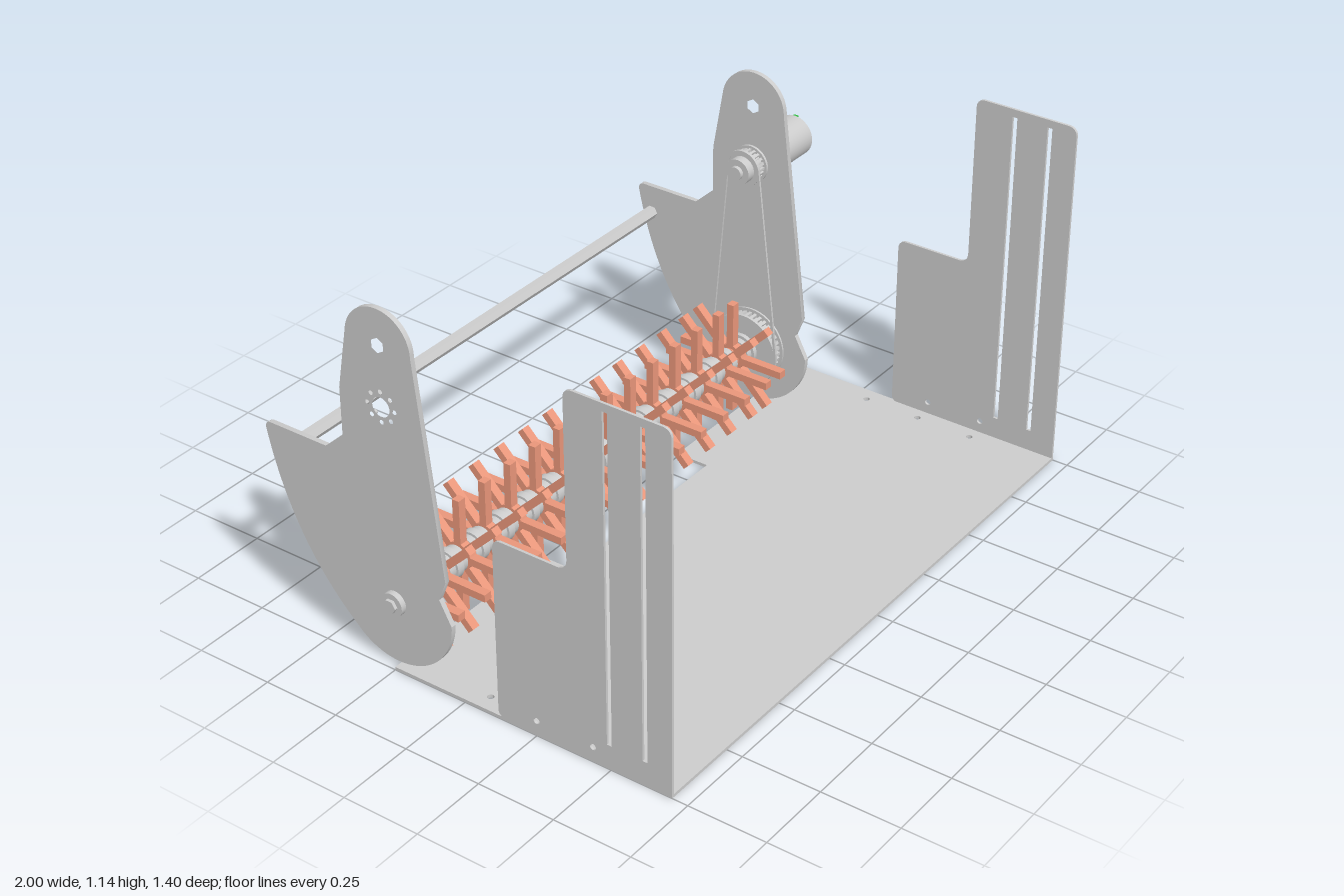
import * as THREE from 'three';
import { toCreasedNormals } from 'three/addons/utils/BufferGeometryUtils.js';

const grey = new THREE.MeshStandardMaterial({ color: 0xcccccc });
const greyFlat = new THREE.MeshStandardMaterial({ color: 0xcccccc, flatShading: true });
const copper = new THREE.MeshStandardMaterial({ color: 0xe9967a, flatShading: true });
const green = new THREE.MeshStandardMaterial({ color: 0x22bb33 });

// Profiles are drawn in (u, y) with u = -z, then extruded along +x.
const ROLLER = { u: 0.26, y: 0.21 }, MOTOR = { u: 0.27, y: 0.84 }, ROD = { u: 0.65, y: 0.55 };

export function createModel() {
  const model = new THREE.Group();

  function add(name, geometry, material = grey, parent = model) {
    const mesh = new THREE.Mesh(geometry, material);
    mesh.name = name;
    parent.add(mesh);
    return mesh;
  }
  function extrude(shape, depth) {
    const g = new THREE.ExtrudeGeometry(shape, { depth, bevelEnabled: false, curveSegments: 24 });
    return toCreasedNormals(g, 0.5);
  }
  const slab = (shape, x0, x1) => extrude(shape, x1 - x0).rotateY(Math.PI / 2).translate(x0, 0, 0);
  const disc = (x0, x1, r, at, sides = 32) => new THREE.CylinderGeometry(r, r, x1 - x0, sides)
    .rotateZ(Math.PI / 2).translate((x0 + x1) / 2, at.y, -at.u);

  function hole(shape, x, y, r) {
    shape.holes.push(new THREE.Path().absarc(x, y, r, 0, Math.PI * 2, true));
  }
  // Polygon whose corners are [x, y, radius]
  function rounded(points) {
    const s = new THREE.Shape();
    points.forEach(([x, y, r = 0], i) => {
      const p = new THREE.Vector2(x, y);
      const toward = (q) => new THREE.Vector2(q[0], q[1]).sub(p).setLength(r).add(p);
      const a = toward(points[(i + points.length - 1) % points.length]);
      const b = toward(points[(i + 1) % points.length]);
      if (i) s.lineTo(a.x, a.y); else s.moveTo(a.x, a.y);
      if (r) s.quadraticCurveTo(x, y, b.x, b.y);
    });
    s.closePath();
    return s;
  }
  // Wheel outline with straight teeth or spokes
  function spoked(at, count, inner, outer, half) {
    const pts = [];
    for (let i = 0; i < count; i++) {
      const a = (i / count) * Math.PI * 2, c = Math.cos(a), s = Math.sin(a);
      for (const [r, t] of [[inner, -half], [outer, -half], [outer, half], [inner, half]])
        pts.push(new THREE.Vector2(at.u + r * c - t * s, at.y + r * s + t * c));
    }
    return new THREE.Shape(pts);
  }

  // Base plate with rear notch and bolt holes
  const base = rounded([[-1, -0.7], [1, -0.7], [1, 0.25], [0.34, 0.25], [0.34, 0.14],
    [-0.34, 0.14], [-0.34, 0.25], [-1, 0.25]]);
  for (const x of [-0.95, 0.95]) for (const u of [-0.05, -0.24, -0.43]) hole(base, x, u, 0.01);
  add('basePlate', extrude(base, 0.01).rotateX(-Math.PI / 2));

  // Slotted side walls
  const wall = rounded([[-0.7, 0], [-0.14, 0, 0.01], [-0.118, 0.02, 0.01], [-0.118, 0.59, 0.03],
    [-0.365, 0.59, 0.035], [-0.365, 1.145, 0.03], [-0.7, 1.145, 0.03]]);
  for (const u of [-0.612, -0.495])
    wall.holes.push(new THREE.Path([[-1, 0.08], [-1, 1.12], [1, 1.12], [1, 0.08]]
      .map(([k, y]) => new THREE.Vector2(u + k * 0.008, y))));
  for (const u of [-0.44, -0.25]) hole(wall, u, 0.05, 0.01);
  add('rightWall', slab(wall, -1, -0.992));
  add('leftWall', slab(wall, 0.992, 1));

  // Swing arms
  const arm = new THREE.Shape();
  arm.moveTo(0.075, 0.35);
  arm.lineTo(0.158, 1.03);
  arm.absarc(0.27, 1.03, 0.112, Math.PI, 0.12, true);
  arm.lineTo(0.415, 0.85);
  arm.lineTo(0.415, 0.7);
  arm.lineTo(0.48, 0.64);
  arm.lineTo(0.68, 0.64);
  arm.quadraticCurveTo(0.7, 0.64, 0.7, 0.62);
  arm.quadraticCurveTo(0.63, 0.27, 0.399, 0.067);
  arm.absarc(ROLLER.u, ROLLER.y, 0.2, -0.8, -Math.PI, true);
  arm.lineTo(0.1, 0.285);
  arm.closePath();
  const hex = [];
  for (let i = 0; i < 6; i++) {
    const a = -(i + 0.5) * Math.PI / 3;
    hex.push(new THREE.Vector2(0.27 + 0.023 * Math.cos(a), 1.03 + 0.023 * Math.sin(a)));
  }
  arm.holes.push(new THREE.Path(hex));
  hole(arm, MOTOR.u, MOTOR.y, 0.03);
  for (let i = 0; i < 8; i++) {
    const a = i * Math.PI / 4;
    hole(arm, MOTOR.u + 0.047 * Math.cos(a), MOTOR.y + 0.047 * Math.sin(a), 0.007);
  }
  add('rightArm', slab(arm, -0.972, -0.956));
  add('leftArm', slab(arm, 0.755, 0.771));

  // Cross rod with end collars
  add('crossRod', disc(-0.955, 0.835, 0.021, ROD, 6), greyFlat);
  for (const x of [-0.95, 0.815]) add('rodCollar', disc(x, x + 0.016, 0.037, ROD));
  for (const x of [-0.934, 0.795]) add('rodHub', disc(x, x + 0.02, 0.027, ROD));

  // Roller shaft and bearings
  add('rollerShaft', disc(-1, 0.79, 0.022, ROLLER, 6), greyFlat);
  for (const [x0, x1, r] of [[-0.99, -0.972, 0.038], [-0.956, -0.94, 0.038], [0.771, 0.788, 0.038],
    [0.665, 0.685, 0.045], [0.685, 0.70, 0.055]])
    add('shaftBearing', disc(x0, x1, r, ROLLER));

  // Tine wheels with spacer collars between them
  const wheels = Array.from({ length: 14 }, (_, i) => -0.917 + i * 0.1142);
  wheels.push(0.645);
  const wheel = slab(spoked(ROLLER, 8, 0.045, 0.19, 0.012), -0.014, 0.014);
  const hub = disc(-0.019, 0.019, 0.034, ROLLER);
  const small = disc(-0.012, 0.012, 0.042, ROLLER, 24);
  const large = disc(-0.013, 0.013, 0.049, ROLLER, 24);
  wheels.forEach((x, i) => {
    const group = new THREE.Group();
    group.name = 'tineWheel';
    group.position.x = x;
    add('tines', wheel, copper, group);
    add('tineHub', hub, copper, group);
    if (i < 13) {
      add('spacer', small, grey, group).position.x = 0.031;
      add('spacer', large, grey, group).position.x = 0.057;
      add('spacer', small, grey, group).position.x = 0.083;
    } else if (i === 13) add('spacer', small, grey, group).position.x = 0.036;
    model.add(group);
  });

  // Drive pulleys
  add('largePulley', slab(spoked(ROLLER, 36, 0.102, 0.112, 0.005), 0.712, 0.745));
  add('largePulleyFlange', disc(0.745, 0.751, 0.122, ROLLER, 48));
  add('largePulleyFace', disc(0.703, 0.712, 0.117, ROLLER, 48));
  add('smallPulley', slab(spoked(MOTOR, 20, 0.044, 0.052, 0.004), 0.712, 0.745));
  for (const x of [0.704, 0.745]) add('smallPulleyFlange', disc(x, x + 0.008, 0.06, MOTOR));
  add('smallPulleyHub', disc(0.675, 0.704, 0.042, MOTOR));
  add('motorShaft', disc(0.662, 0.78, 0.022, MOTOR, 16));

  // Thin belt loop around both pulleys
  function loop(R, r, Path) {
    const tilt = Math.asin((R - r) / (MOTOR.y - ROLLER.y)), p = new Path();
    p.absarc(MOTOR.u, MOTOR.y, r, tilt, Math.PI - tilt, false);
    p.absarc(ROLLER.u, ROLLER.y, R, Math.PI - tilt, Math.PI * 2 + tilt, false);
    p.closePath();
    return p;
  }
  const belt = loop(0.125, 0.06, THREE.Shape);
  belt.holes.push(loop(0.117, 0.052, THREE.Path));
  add('driveBelt', slab(belt, 0.702, 0.709));

  // Motor, its terminal block and terminals
  add('motorBody', disc(0.771, 0.985, 0.066, MOTOR, 40));
  add('motorCap', disc(0.985, 0.994, 0.058, MOTOR, 40));
  add('terminalBlock', slab(rounded([[0.29, 0.79], [0.342, 0.825], [0.342, 0.855], [0.29, 0.89]]), 0.78, 0.98));
  for (const y of [0.782, 0.898])
    add('terminal', new THREE.BoxGeometry(0.02, 0.012, 0.016).translate(0.985, y, -MOTOR.u), green);
  for (const [u, y] of [[0.3, 0.805], [0.3, 0.875], [0.318, 0.825], [0.318, 0.855]])
    add('motorScrew', disc(0.98, 0.998, 0.009, { u, y }, 12));

  return model;
}
